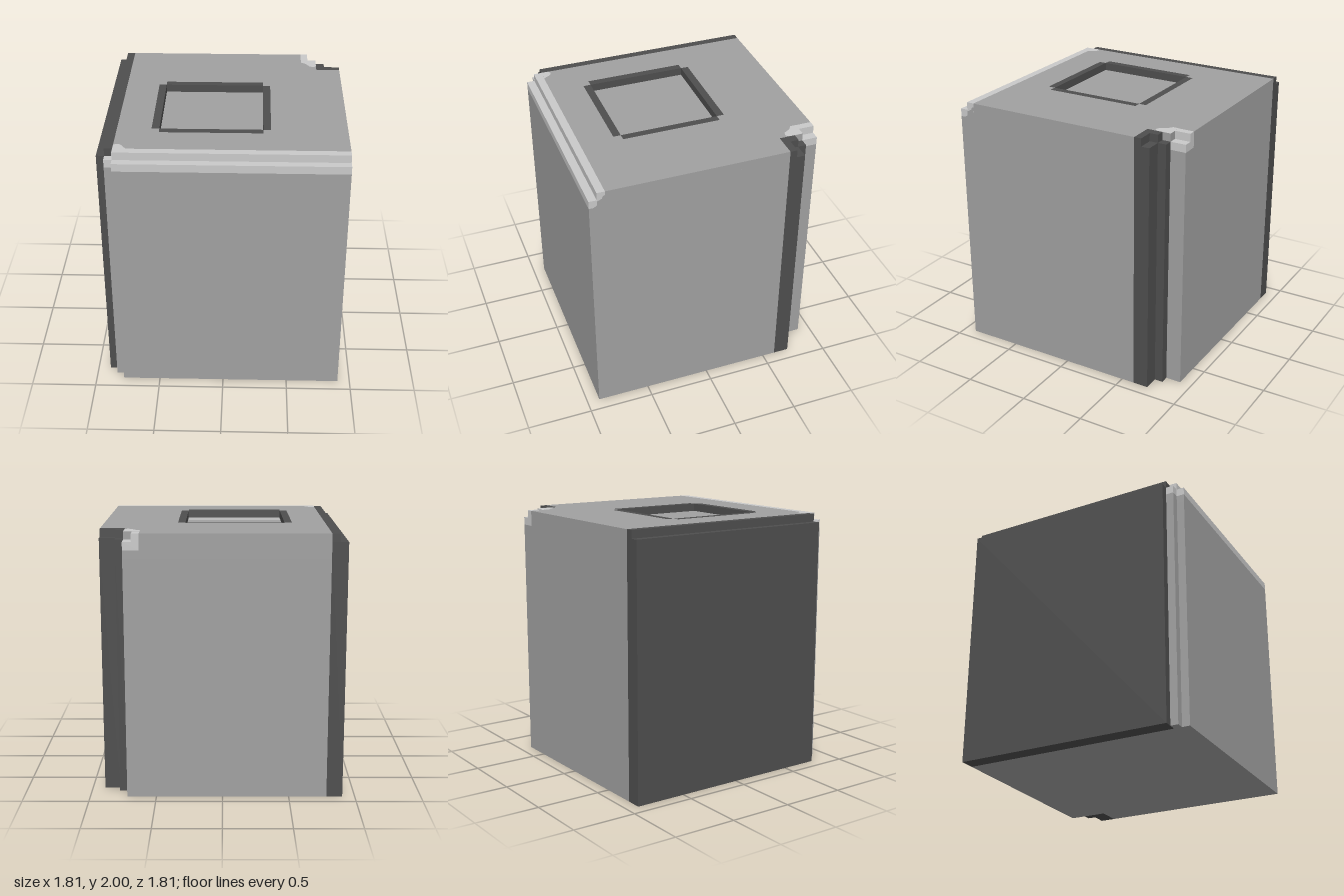
import * as THREE from 'three';

export function createModel() {
  const model = new THREE.Group();
  const flat = (name, color) => {
    const m = new THREE.MeshStandardMaterial({ color });
    m.name = name;
    return m;
  };
  const mid = flat('mid stone', 0xa0a0a0);
  const light = flat('light worn edge', 0xc9c9c9);
  const dark = flat('dark groove', 0x4e4e4e);

  // Outline given as [x, z] corners, raised from y0 to y1
  function slab(name, mat, y0, y1, outline, hole) {
    const points = outline.map(([x, z]) => new THREE.Vector2(x, -z));
    const shape = new THREE.Shape(points);
    if (hole) shape.holes.push(new THREE.Path(hole.map(([x, z]) => new THREE.Vector2(x, -z))));
    const geo = new THREE.ExtrudeGeometry(shape, { depth: y1 - y0, bevelEnabled: false });
    geo.rotateX(-Math.PI / 2);
    const mesh = new THREE.Mesh(geo, mat);
    mesh.name = name;
    mesh.position.y = y0;
    model.add(mesh);
    return mesh;
  }
  const rect = (x0, x1, z0, z1) => [[x0, z0], [x1, z0], [x1, z1], [x0, z1]];

  // Step positions shared by the corners and ledges
  const H = 0.905, A = 0.845, B = 0.785, C = 0.72, D = 0.655, E = 0.6;
  const ledge = 1.94, band = 1.88, floor = 1.82;

  // Square recess and its plus-shaped outline at the rim
  const [hx0, hx1, hz0, hz1, r] = [-0.475, 0.285, -0.285, 0.47, 0.057];
  const recess = rect(hx0, hx1, hz0, hz1);
  const rimOutline = [
    [hx0, hz0 - r], [hx1, hz0 - r], [hx1, hz0], [hx1 + r, hz0], [hx1 + r, hz1], [hx1, hz1],
    [hx1, hz1 + r], [hx0, hz1 + r], [hx0, hz1], [hx0 - r, hz1], [hx0 - r, hz0], [hx0, hz0],
  ];

  // Main block, in layers
  const bodyOutline = [
    [-B, -H], [C, -H], [C, -E], [H, -E], [H, H], [-B, H], [-B, A], [-A, A], [-A, B], [-B, B],
  ];
  const upperOutline = [[-B, -H], [E, -H], [E, -B], [C, -B], [C, -E], [H, -E], [H, B], [-B, B]];
  slab('body', mid, 0, floor, bodyOutline);
  slab('recessWall', mid, floor, band, bodyOutline, recess);
  slab('upperBody', mid, band, ledge, upperOutline, recess);
  slab('topLayer', mid, ledge, 2, upperOutline, rimOutline);

  // Dark rim around the recess
  slab('recessRimBack', dark, ledge, 2, rect(hx0, hx1, hz0 - r, hz0));
  slab('recessRimFront', dark, ledge, 2, rect(hx0, hx1, hz1, hz1 + r));
  slab('recessRimRight', dark, ledge, 2, rect(hx0 - r, hx0, hz0, hz1));
  slab('recessRimLeft', dark, ledge, 2, rect(hx1, hx1 + r, hz0, hz1));

  // Dark stepped side
  slab('darkSide', dark, 0, ledge, rect(-H, -B, -H, B));
  slab('darkSideTop', dark, ledge, 2, rect(-A, -B, -H, B));

  // Dark stepped notch at the back corner
  slab('notch', dark, 0, ledge, [[C, -E], [H, -E], [H, -C], [B, -C], [B, -B], [C, -B]]);
  slab('notchTop', dark, ledge, 2, [[C, -E], [H, -E], [H, -D], [B, -D], [B, -C], [C, -C]]);
  // Mid wall behind the notch is completed by the light chipped corner
  slab('chippedCorner', light, band, ledge, rect(E, C, -H, -B));
  slab('chippedCornerTop', light, ledge, 2, rect(E, D, -H, -B));

  // Light stepped front edge
  slab('frontEdge', light, band, ledge, [[-A, B], [H, B], [H, H], [-B, H], [-B, A], [-A, A]]);
  slab('frontEdgeTop', light, ledge, 2, rect(-B, H, B, A));

  // Thin worn patches on the top
  slab('cornerWear', light, 1.999, 2.001, [
    [E, -B], [E, -0.74], [0.63, -0.72], [0.655, -0.685], [0.665, -0.665], [0.69, -0.655],
    [0.71, -0.66], [C, -0.68], [C, -B],
  ]);
  slab('frontWear', light, 1.999, 2.001, [
    [-B, B], [-B, 0.73], [-0.765, 0.715], [-0.74, 0.72], [-0.72, 0.74], [-0.705, 0.765], [-0.69, B],
  ]);

  // Mid fill that leaves a wavy lower corner to the light edge on the open side
  const fill = new THREE.Shape([[0.872, 1.88], [0.848, 1.895], [0.843, 1.93], [0.81, 1.945],
    [0.8, 1.965], [0.785, 1.97], [0.785, 1.88]].map(([z, y]) => new THREE.Vector2(-z, y)));
  const sideFill = new THREE.Mesh(new THREE.ShapeGeometry(fill), mid);
  sideFill.name = 'sideFill';
  sideFill.rotation.y = Math.PI / 2;
  sideFill.position.x = H + 0.001;
  model.add(sideFill);

  return model;
}
